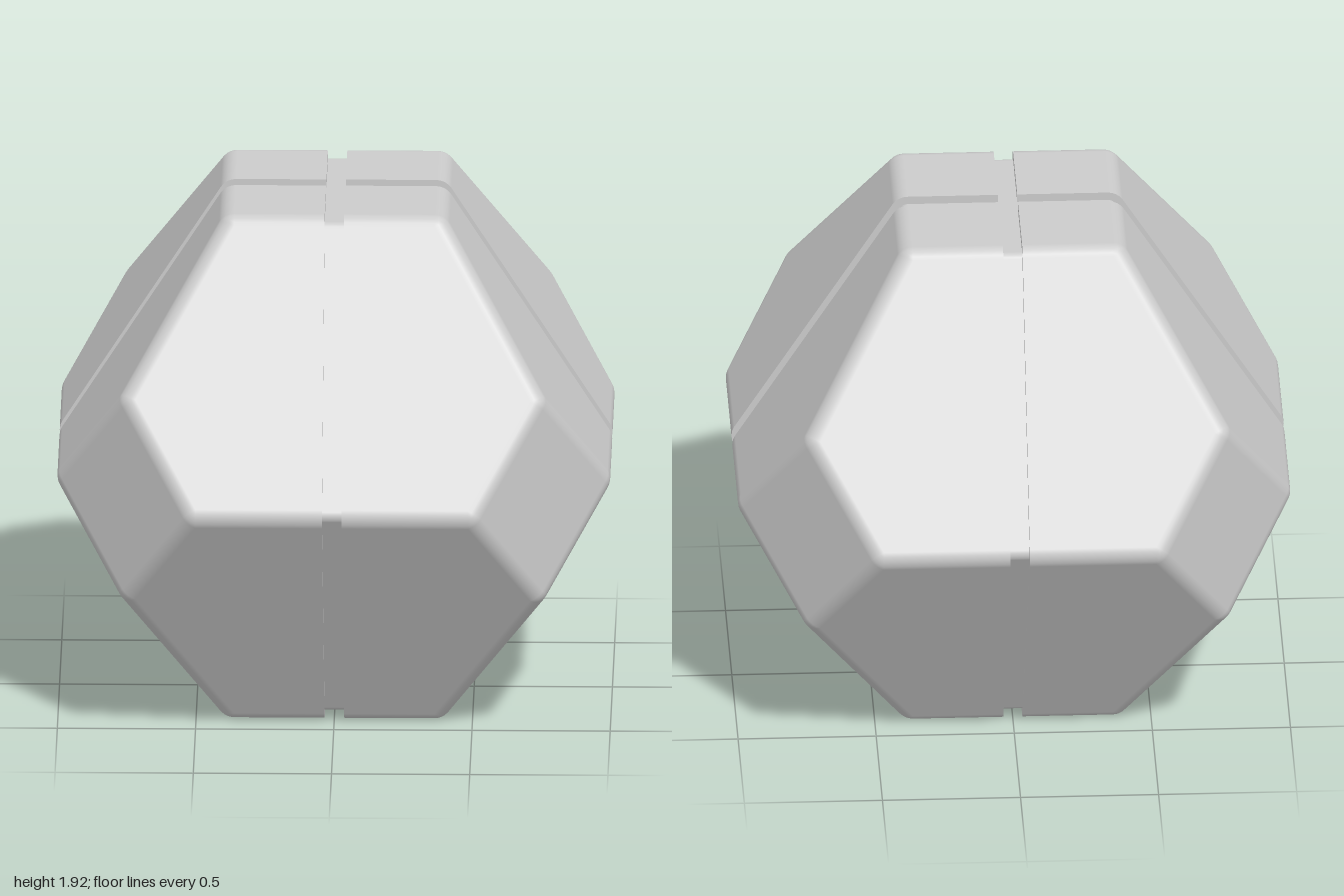
import * as THREE from 'three';
import { ConvexGeometry } from 'three/addons/geometries/ConvexGeometry.js';

const HALF_HEIGHT = 0.96, BEVEL = 0.065, GAP = 0.035, GROOVE_DEPTH = 0.03;
const SLOPE = 0.64, Z_SCALE = 0.98, STEPS = 4;
const V = (x, y, z) => new THREE.Vector3(x, y, z);

// Face normals of the truncated double pyramid, for the quarter with +x and +z
const UP = V(0, 1, 0), DOWN = V(0, -1, 0);
const slopeX = (s) => V(1, s * SLOPE, 0).normalize();
const slopeZ = (s) => V(0, s * SLOPE, 1).normalize();
const DIAGONAL = V(1, 0, 1).normalize();

// Directions spread evenly between three face normals (or two, for an edge)
function spread(a, b, c) {
  const out = [];
  for (let i = 0; i <= STEPS; i++) {
    for (let j = 0; j <= (c ? STEPS - i : 0); j++) {
      const k = STEPS - i - j;
      const d = V(0, 0, 0).addScaledVector(a, i).addScaledVector(b, k);
      if (c) d.addScaledVector(c, j);
      out.push(d.normalize());
    }
  }
  return out;
}

// Rounded corners of one quarter, as points with their normals
function cornerPoints(radius) {
  const h = HALF_HEIGHT - BEVEL, e = 1 - BEVEL;
  const top = e - SLOPE * h;
  const sum = 1.52 - BEVEL * Math.SQRT2;
  const mid = sum / 2, midY = (e - mid) / SLOPE;
  const points = [];
  const add = (centre, dirs) => dirs.forEach((n) =>
    points.push({ p: centre.clone().addScaledVector(n, radius), n }));

  for (const s of [1, -1]) {
    const cap = s > 0 ? UP : DOWN;
    add(V(top, s * h, top), spread(cap, slopeX(s), slopeZ(s)));
    add(V(mid, s * midY, mid), spread(DIAGONAL, slopeX(s), slopeZ(s)));
  }
  add(V(e, 0, sum - e), spread(slopeX(1), slopeX(-1), DIAGONAL));
  add(V(sum - e, 0, e), spread(slopeZ(1), slopeZ(-1), DIAGONAL));

  // Rounded profile where the quarter is cut by the two grooves
  const cuts = () => {
    for (const s of [1, -1]) {
      const cap = s > 0 ? UP : DOWN;
      add(V(GAP, s * h, top), spread(cap, slopeZ(s)));
      add(V(top, s * h, GAP), spread(cap, slopeX(s)));
      add(V(GAP, s * h, GAP), [cap]);
    }
    add(V(GAP, 0, e), spread(slopeZ(1), slopeZ(-1)));
    add(V(e, 0, GAP), spread(slopeX(1), slopeX(-1)));
  };
  return { points, cuts };
}

// Convex skin with smooth bevels; the groove walls stay flat
function skin(points) {
  const key = (x, y, z) => [x, y, z].map((v) => Math.round(v * 1e4)).join();
  const normals = new Map(points.map(({ p, n }) => [key(p.x, p.y, p.z), n]));
  const geometry = new ConvexGeometry(points.map(({ p }) => p));
  const pos = geometry.attributes.position, nor = geometry.attributes.normal;
  for (let i = 0; i < pos.count; i++) {
    const isWall = nor.getX(i) < -0.99 || nor.getZ(i) < -0.99;
    const n = normals.get(key(pos.getX(i), pos.getY(i), pos.getZ(i)));
    if (!isWall && n) nor.setXYZ(i, n.x, n.y, n.z);
  }
  return geometry;
}

export function createModel() {
  const model = new THREE.Group();
  model.name = 'groovedPolyhedron';
  const material = new THREE.MeshStandardMaterial({ color: 0xcccccc });
  const addPart = (name, geometry) => {
    geometry.scale(1, 1, Z_SCALE).translate(0, HALF_HEIGHT, 0);
    const mesh = new THREE.Mesh(geometry, material);
    mesh.name = name;
    model.add(mesh);
  };

  // Four outer shell quarters
  const outer = cornerPoints(BEVEL);
  outer.cuts();
  const quarter = skin(outer.points);
  ['frontLeft', 'backLeft', 'backRight', 'frontRight'].forEach((side, i) =>
    addPart(side + 'Quarter', quarter.clone().rotateY(i * Math.PI / 2)));

  // Inner core that forms the groove floors
  const inner = cornerPoints(BEVEL - GROOVE_DEPTH).points;
  const corePoints = [];
  for (let i = 0; i < 4; i++) {
    const turn = (v) => v.clone().applyAxisAngle(UP, i * Math.PI / 2);
    inner.forEach(({ p, n }) => corePoints.push({ p: turn(p), n: turn(n) }));
  }
  addPart('core', skin(corePoints));
  return model;
}
